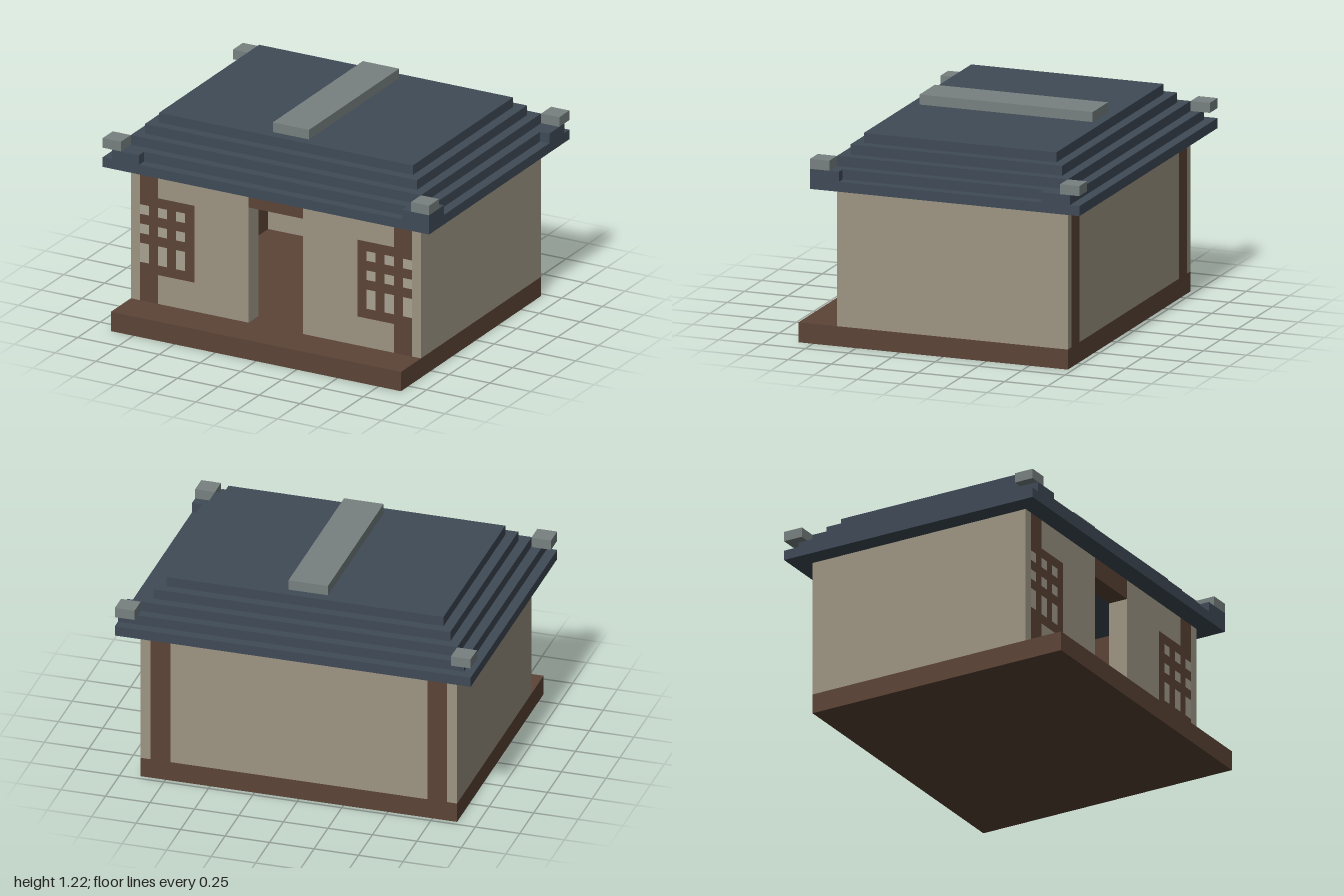
import * as THREE from 'three';

const U = 1 / 18; // one block

const mat = (color) => new THREE.MeshStandardMaterial({ color });

export function createModel() {
  const model = new THREE.Group();
  const wood = mat(0x5c4436), plaster = mat(0x9e9684), paper = mat(0xaaa293);
  const slate = mat(0x404b57), stone = mat(0x778080);

  // Box between two corners given in blocks
  const box = (parent, name, material, x0, x1, y0, y1, z0, z1) => {
    const geo = new THREE.BoxGeometry((x1 - x0) * U, (y1 - y0) * U, (z1 - z0) * U);
    const mesh = new THREE.Mesh(geo, material);
    mesh.position.set((x0 + x1) / 2 * U, (y0 + y1) / 2 * U, (z0 + z1) / 2 * U);
    mesh.name = name;
    parent.add(mesh);
  };
  // Same box on both sides of the house
  const pair = (parent, name, material, x0, x1, ...rest) => {
    box(parent, name + 'Left', material, x0, x1, ...rest);
    box(parent, name + 'Right', material, -x1, -x0, ...rest);
  };
  const group = (name) => {
    const g = new THREE.Group();
    g.name = name;
    model.add(g);
    return g;
  };

  // Floor platform with front porch
  box(model, 'platform', wood, -16, 16, 0, 2, -13, 15);

  // Side walls: plaster outside, timber inside that shows as posts front and back
  const walls = group('walls');
  pair(walls, 'sideWall', plaster, 15, 16, 2, 16, -13, 11);
  pair(walls, 'timberWall', wood, 13, 15, 2, 16, -13, 9);
  box(walls, 'backWall', plaster, -13, 13, 2, 16, -13, -11);

  // Front wall around the door and windows
  pair(walls, 'doorSideWall', plaster, 3, 9, 2, 16, 9, 11);
  for (const [y0, y1] of [[2, 5], [13, 16]]) {
    pair(walls, 'windowWall', plaster, 9, 13, y0, y1, 9, 11);
    pair(walls, 'frontPost', wood, 13, 15, y0, y1, 9, 11);
  }
  box(walls, 'doorLintel', wood, -3, 3, 14, 16, 9, 11);

  // Lattice windows: full-width rails, then bars alternating with panes
  const windows = group('windows');
  for (const [y0, y1] of [[5, 6], [8, 9], [10, 11], [12, 13]])
    pair(windows, 'windowRail', wood, 9, 15, y0, y1, 9, 11);
  for (const [y0, y1] of [[6, 8], [9, 10], [11, 12]])
    for (let x = 9; x < 15; x += 2) {
      pair(windows, 'windowBar', wood, x, x + 1, y0, y1, 9, 11);
      pair(windows, 'windowPane', paper, x + 1, x + 2, y0, y1, 9, 11);
    }

  // Eaves
  const roof = group('roof');
  box(roof, 'eaves', slate, -18, 18, 16, 17, -15, 13);
  box(roof, 'upperEaves', slate, -17, 17, 17, 18, -14, 12);
  // Raised eave corners, leaving notches along the front and the left side
  box(roof, 'eaveCornerFrontRight', slate, -17, -14, 17, 18, 12, 13);
  box(roof, 'eaveCornerFrontLeft', slate, 15, 18, 17, 18, 12, 13);
  box(roof, 'eaveEdgeFrontLeft', slate, 17, 18, 17, 18, 10, 12);
  box(roof, 'eaveEdgeBackLeft', slate, 17, 18, 17, 18, -14, -11);

  // Stepped roof tiers
  for (let i = 0; i < 3; i++)
    box(roof, 'roofTier' + (i + 1), slate, i - 16, 16 - i, 18 + i, 19 + i, i - 13, 11 - i);

  // Stone ridge and corner caps
  box(roof, 'ridge', stone, -2, 2, 21, 22, -10, 8);
  pair(roof, 'frontCornerCap', stone, 16, 18, 18, 19, 11, 13);
  pair(roof, 'backCornerCap', stone, 16, 18, 18, 19, -15, -13);

  return model;
}
